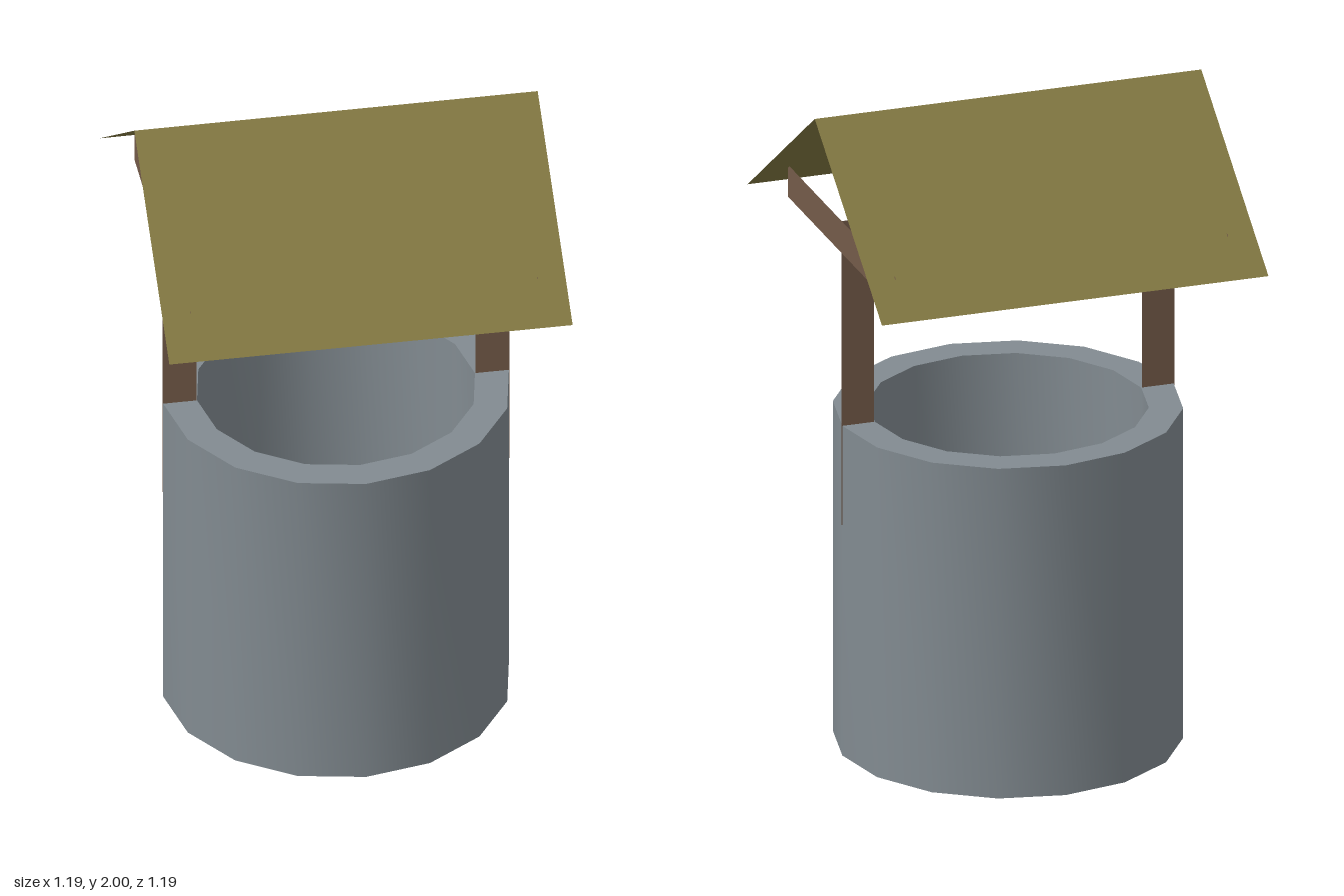
import * as THREE from 'three';
import { toCreasedNormals } from 'three/addons/utils/BufferGeometryUtils.js';

const flat = (name, color) => new THREE.MeshStandardMaterial({ name, color, side: THREE.DoubleSide });

export function createModel() {
  const stone = new THREE.MeshStandardMaterial({ name: 'stone', color: 0x828b91 });
  const wood = flat('wood', 0x745b49);
  const thatch = flat('roofing', 0x827842);

  const group = new THREE.Group();
  group.name = 'well';
  const add = (name, geometry, material, parent = group) => {
    const mesh = new THREE.Mesh(geometry, material);
    mesh.name = name;
    parent.add(mesh);
    return mesh;
  };

  // Sixteen-sided hollow wall with a flat rim and an inner floor
  const profile = [[0, 0], [0.51, 0], [0.51, 1.03], [0.41, 1.03], [0.41, 0.1], [0, 0.1]]
    .map(([r, y]) => new THREE.Vector2(r, y));
  add('wall', toCreasedNormals(new THREE.LatheGeometry(profile, 16), 0.6), stone);

  // Flat posts and the beams across their tops
  for (const [side, s] of [['left', 1], ['right', -1]]) {
    const post = add(side + 'Post', new THREE.PlaneGeometry(0.1, 0.95), wood);
    post.position.set(s * 0.462, 1.195, 0);
    const beam = add(side + 'Beam', new THREE.PlaneGeometry(0.95, 0.1), wood);
    beam.rotation.y = s * Math.PI / 2;
    beam.position.set(s * 0.512, 1.62, 0);
  }

  // Two thin roof slopes meeting at the ridge
  const run = 0.593, drop = 0.425;
  const roof = new THREE.Group();
  roof.name = 'roof';
  group.add(roof);
  for (const [name, turn] of [['frontSlope', 0], ['backSlope', Math.PI]]) {
    const slope = new THREE.PlaneGeometry(1.19, Math.hypot(run, drop));
    slope.rotateX(-Math.atan2(run, drop));
    slope.translate(0, 2 - drop / 2, run / 2);
    slope.rotateY(turn);
    add(name, slope, thatch, roof);
  }

  return group;
}
